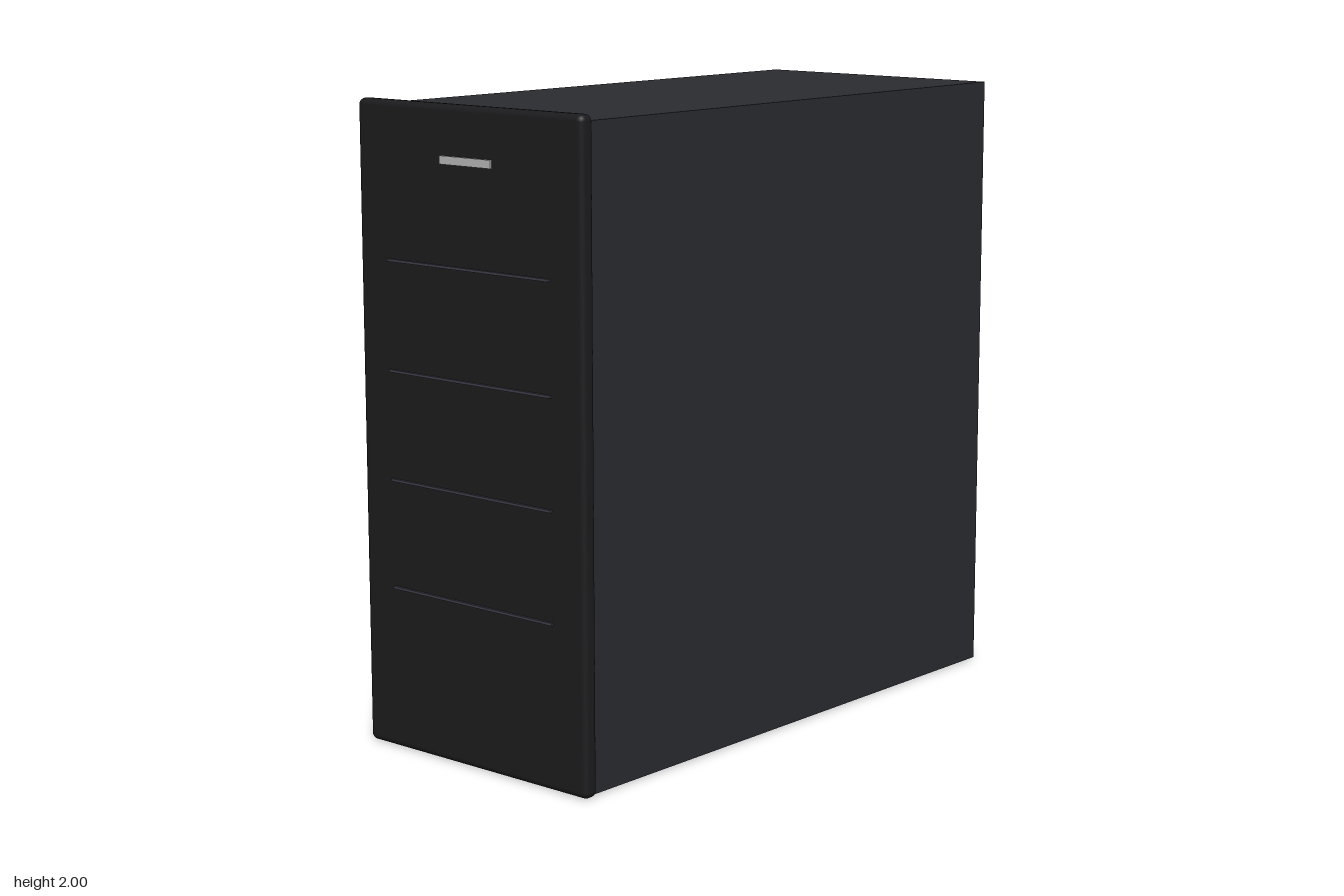
import * as THREE from 'three';
import { RoundedBoxGeometry } from 'three/addons/geometries/RoundedBoxGeometry.js';

const paint = (color) => new THREE.MeshStandardMaterial({ color });

export function createModel() {
  const model = new THREE.Group();
  const body = paint(0x2a2b30), bezel = paint(0x1b1b1d), dark = paint(0x151517);
  const inner = paint(0x33363e), line = paint(0x3c3c48), silver = paint(0xb4b4b4);

  // Box given by its extents on each axis
  function box(name, material, [x0, x1], [y0, y1], [z0, z1], radius = 0) {
    const size = [x1 - x0, y1 - y0, z1 - z0];
    const geometry = radius
      ? new RoundedBoxGeometry(...size, 3, radius)
      : new THREE.BoxGeometry(...size);
    const mesh = new THREE.Mesh(geometry, material);
    mesh.name = name;
    mesh.position.set((x0 + x1) / 2, (y0 + y1) / 2, (z0 + z1) / 2);
    model.add(mesh);
    return mesh;
  }

  // Case shell, open on the -x side
  const T = 0.02, W = 0.445, TOP = 1.98, BACK = -0.985, FRONT = 0.95;
  box('bottomPanel', body, [-W, W], [0.005, 0.005 + T], [BACK, FRONT]);
  box('topPanel', body, [-W, W], [TOP - T, TOP], [BACK, FRONT]);
  box('sidePanel', body, [W - T, W], [0.005 + T, TOP - T], [BACK, FRONT]);
  box('backPanel', body, [-W, W - T], [0.005 + T, TOP - T], [BACK, BACK + T]);

  // Front bezel with slot and groove lines
  box('frontBezel', bezel, [-0.46, 0.46], [0, 2], [0.94, 0.992], 0.02);
  box('frontSlot', silver, [-0.105, 0.105], [1.825, 1.85], [0.98, 0.998]);
  for (let i = 0; i < 4; i++) {
    const y = 0.511 + i * 0.337;
    box('frontLine', line, [-0.333, 0.333], [y - 0.004, y + 0.004], [0.98, 1]);
  }

  // Rear port plate and expansion slot covers
  box('portPlate', dark, [0.1, 0.35], [1.5, 1.875], [-1, BACK + 0.005]);
  for (let i = 0; i < 7; i++) {
    const y = 0.62 + i * 0.083;
    box('slotCover', silver, [0.157, 0.177], [y, y + 0.072], [-0.998, BACK + 0.005]);
  }

  // Interior: shelf, power supply and drive cage
  box('shelf', inner, [-0.425, W - T], [0.45, 0.467], [-0.35, 0.9]);
  box('powerSupply', body, [-0.42, 0.41], [0.025, 0.44], [-0.345, 0.3]);
  box('driveCage', body, [-0.33, 0.33], [0.025, 0.45], [0.43, 0.9]);

  return model;
}
